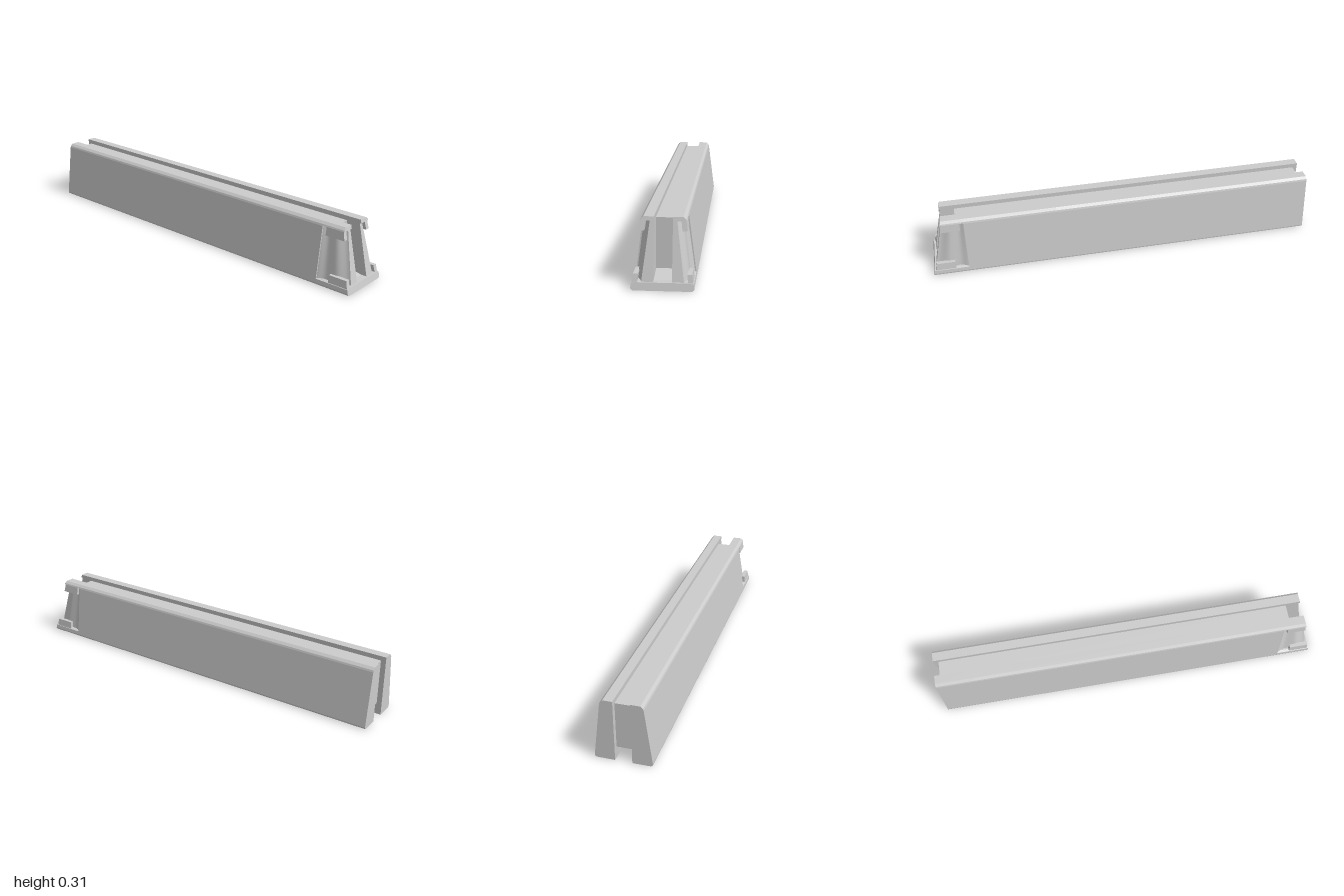
import * as THREE from 'three';

const SLANT = 0.22; // the tip leans back by this much per unit of height
const hull = y => 0.135 - 0.128 * (y - 0.012); // outer half width at a height

export function createModel() {
  const group = new THREE.Group();
  const material = new THREE.MeshStandardMaterial({ color: 0xcccccc });

  const add = (name, geometry) => {
    const mesh = new THREE.Mesh(geometry, material);
    mesh.name = name;
    group.add(mesh);
  };

  // Extrude a [z, y] section along x, optionally cutting the far end on the slant
  const prism = (name, section, x0, x1, side = 1, slanted = false) => {
    const shape = new THREE.Shape(section.map(([z, y]) => new THREE.Vector2(-z * side, y)));
    const geo = new THREE.ExtrudeGeometry(shape, { depth: x1 - x0, bevelEnabled: false });
    geo.rotateY(Math.PI / 2).translate(x0, 0, 0);
    const p = geo.attributes.position;
    if (slanted) {
      for (let i = 0; i < p.count; i++) {
        if (p.getX(i) > x1 - 0.001) p.setX(i, x1 - SLANT * p.getY(i));
      }
    }
    geo.computeVertexNormals();
    add(name, geo);
  };

  // Small filler between the recessed cheek and the outer skin
  const gusset = (name, y0, y1, x0, side) => prism(name, [[hull(y0) - 0.024, y0], [hull(y0) - 0.003, y0],
    [hull(y1) - 0.003, y1], [hull(y1) - 0.024, y1]], x0, 0.995, side, true);

  const outside = [[0.126, 0], [0.134, 0.006], [0.135, 0.012], [0.1, 0.285], [0.097, 0.294], [0.085, 0.305], [0.04, 0.305]];
  const plain = [[0.04, 0], ...outside];
  const rebated = [[0.04, 0.02], [0.065, 0.02], [0.065, 0], ...outside];

  for (const side of [1, -1]) {
    // Long side walls, with a shallow rebate along part of the underside
    prism('sideWallRear', plain, -1, -0.8, side);
    prism('sideWallMiddle', rebated, -0.8, 0.35, side);
    prism('sideWallFront', plain, 0.35, 0.82, side);

    // Top lip running out to the slanted tip
    prism('topLip', [[0.04, 0.287], [hull(0.287), 0.287], [0.097, 0.294], [0.085, 0.305], [0.04, 0.305]], 0.82, 1, side, true);
    gusset('upperGusset', 0.245, 0.29, 0.84, side);
    gusset('lowerGusset', 0.03, 0.068, 0.885, side);

    // Solid cheek with a recessed side that rounds inward at the tip
    const cheek = new THREE.BoxGeometry(1, 1, 1, 16, 6, 1);
    const p = cheek.attributes.position;
    for (let i = 0; i < p.count; i++) {
      const u = p.getX(i) + 0.5;
      const y = 0.025 + 0.265 * (p.getY(i) + 0.5);
      const recess = 0.004 + 0.016 * THREE.MathUtils.smoothstep(u, 0, 0.3) + 0.022 * THREE.MathUtils.smoothstep(u, 0.6, 1);
      const x = THREE.MathUtils.lerp(0.81, 0.992 - SLANT * y, u);
      p.setXYZ(i, x, y, side * (p.getZ(i) * side > 0 ? hull(y) - recess : 0.04));
    }
    cheek.computeVertexNormals();
    add('gripCheek', cheek);
  }

  // Floor plate closing the underside at the tip
  prism('floorPlate', [[-0.126, 0], [0.126, 0], [0.134, 0.006], [0.135, 0.012], [0.1325, 0.03], [0.12, 0.034],
    [-0.12, 0.034], [-0.1325, 0.03], [-0.135, 0.012], [-0.134, 0.006]], 0.8, 1, 1, true);

  // Ramp rising from the floor to the core
  const ramp = new THREE.Shape([[0.8, 0.03], [0.975, 0.03], [0.86, 0.055], [0.8, 0.055]].map(c => new THREE.Vector2(...c)));
  add('floorRamp', new THREE.ExtrudeGeometry(ramp, { depth: 0.08, bevelEnabled: false }).translate(0, 0, -0.04));

  // Core strip filling the slot between the walls
  add('coreStrip', new THREE.BoxGeometry(1.835, 0.228, 0.08).translate(-0.0575, 0.169, 0));

  return group;
}
